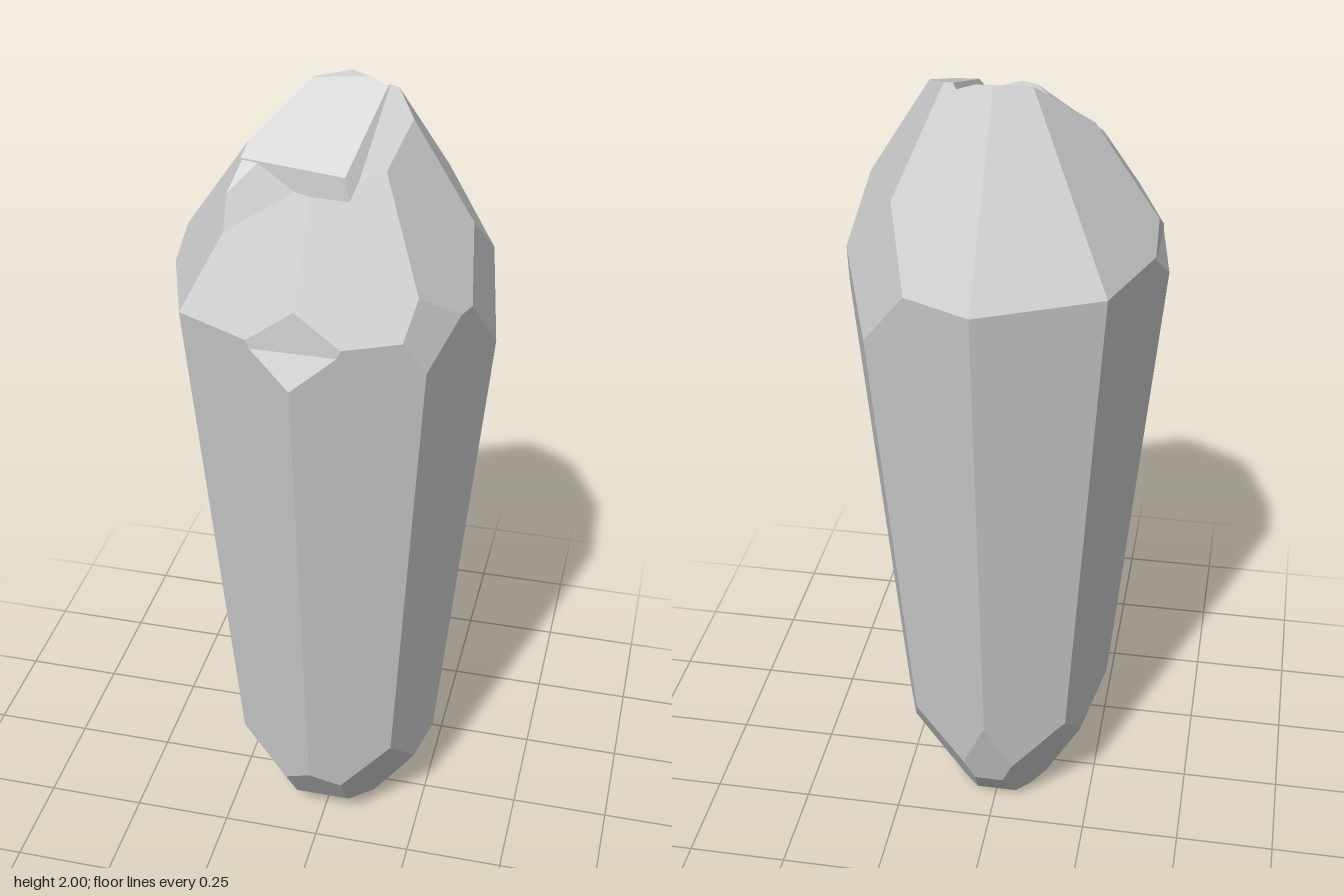
import * as THREE from 'three';

// A faceted stone: a convex solid bounded by planes, with wedge-shaped chips taken out of it.
const core = new THREE.Vector3(0, 1, 0);
const v = (p) => new THREE.Vector3(...p);

// Plane through three points, facing away from the core
function plane(a, b, c) {
  const p = new THREE.Plane().setFromCoplanarPoints(v(a), v(b), v(c));
  return p.distanceToPoint(core) > 0 ? p.negate() : p;
}

// Keep the part of a polygon behind (side 1) or beyond (side -1) a plane
function clip(poly, p, side) {
  const out = [];
  poly.forEach((a, i) => {
    const b = poly[(i + 1) % poly.length];
    const da = side * p.distanceToPoint(a), db = side * p.distanceToPoint(b);
    if (da <= 0) out.push(a);
    if (da * db < 0) out.push(a.clone().lerp(b, da / (da - db)));
  });
  return out.length > 2 ? out : [];
}

// Remove a wedge from a polygon, leaving convex pieces
function subtract(poly, wedge) {
  const pieces = [];
  let rest = poly;
  for (const p of wedge) {
    pieces.push(clip(rest, p, 1));
    rest = clip(rest, p, -1);
  }
  return pieces.filter((q) => q.length);
}

// Large square lying in a plane
function sheet(p) {
  const turn = new THREE.Quaternion().setFromUnitVectors(new THREE.Vector3(0, 0, 1), p.normal);
  const mid = p.projectPoint(core, new THREE.Vector3());
  return [[-4, -4, 0], [4, -4, 0], [4, 4, 0], [-4, 4, 0]].map((c) => v(c).applyQuaternion(turn).add(mid));
}

// Eight-sided cross-section, tapering downwards
const outline = [[0, 0.455], [0.275, 0.322], [0.388, 0], [0.275, -0.322],
  [0, -0.455], [-0.275, -0.322], [-0.388, 0], [-0.275, 0.322]];
const ring = (y, k) => {
  const s = 1 + (y - 1.55) * 0.24;
  const [x, z] = outline[k % 8];
  return [x * s, y, z * s];
};

export function createModel() {
  // Long side faces
  const sides = outline.map((_, k) => plane(ring(1.5, k), ring(1.5, k + 1), ring(0.4, k)));

  // Sloping crown faces, one above each side, and the tilted summit
  const tops = [[0, 1.87, 0.25], [0.14, 1.9, 0.17], [0.14, 1.95, -0.1], [0, 2, -0.15],
    [0, 2, -0.15], [-0.22, 1.85, 0], [-0.22, 1.85, 0], [0, 1.87, 0.25]];
  const crown = tops.map((t, k) => plane(ring(1.6, k), ring(1.6, k + 1), t));
  crown.push(plane([-0.1, 1.99, -0.12], [0.1, 1.99, -0.12], [0, 1.87, 0.25]));

  // Flat cuts on the shoulder: right, back right, front right
  const shoulder = [
    plane([0.387, 1.39, 0], [0.387, 1.39, 0.1], [0.305, 1.76, 0]),
    plane([0.275, 1.43, -0.315], [0.22, 1.75, -0.23], [0.405, 1.43, -0.145]),
    plane([0.28, 1.48, 0.325], [0.22, 1.6, 0.36], [0.34, 1.6, 0.17]),
  ];

  // Rough lower end: cuts running across x or z, then the resting face
  const acrossX = (y1, z1, y2, z2) => plane([-0.1, y1, z1], [0.1, y1, z1], [0, y2, z2]);
  const acrossZ = (y1, x1, y2, x2) => plane([x1, y1, -0.1], [x1, y1, 0.1], [x2, y2, 0]);
  const base = [
    acrossX(0.26, 0.305, 0.07, 0.17),
    acrossX(0.07, 0.17, 0, -0.04),
    acrossX(0, -0.14, 0.13, -0.25),
    acrossX(0.13, -0.255, 0.29, -0.303),
    acrossZ(0.33, -0.272, 0.04, -0.13),
    acrossZ(0.04, -0.13, 0, -0.09),
    acrossZ(0.25, 0.278, 0.14, 0.2),
    acrossZ(0.14, 0.2, 0, 0.09),
    plane([0, 0, 0], [1, 0, 0], [0, 0, 1]),
  ];

  // Hollow beside the summit: floor, back wall, ridge wall
  const hollow = [
    plane([-0.03, 1.87, 0.24], [0.03, 1.82, 0.05], [-0.17, 1.83, 0]),
    plane([0.05, 2, -0.14], [-0.09, 1.985, -0.11], [-0.07, 1.825, 0.025]),
    plane([0.09, 1.98, -0.11], [0.03, 1.82, 0.05], [0.1, 1.9, 0.2]),
  ];
  // Broken rim at the front left of the hollow
  const rim = [
    plane([-0.21, 1.75, 0.25], [-0.04, 1.865, 0.24], [-0.21, 1.83, 0]),
    plane([0.05, 2, -0.12], [-0.09, 1.985, -0.09], [-0.07, 1.825, 0.045]),
  ];
  // Shallow nicks on the front and left edges
  const frontNick = [
    acrossX(1.51, 0.449, 1.6, 0.402),
    acrossX(1.6, 0.41, 1.67, 0.403),
  ];
  const leftNick = [
    acrossZ(1.52, -0.385, 1.6, -0.357),
    acrossZ(1.6, -0.36, 1.66, -0.356),
  ];
  // Undercut ledges at the foot of the four diagonal edges
  const ledge = (sx, sz, h) => [
    plane([0.2 * sx, h, 0.235 * sz], [0.02 * sx, h - 0.1, 0.305 * sz], [0.265 * sx, h - 0.1, 0.03 * sz]),
    plane([0.24 * sx, 0.25, 0.12 * sz], [0.07 * sx, 0.22, 0.28 * sz], [0.1 * sx, 0.07, 0.14 * sz]),
  ];
  const ledges = [ledge(1, 1, 0.35), ledge(1, -1, 0.36), ledge(-1, 1, 0.41), ledge(-1, -1, 0.34)];

  const solid = [...sides, ...crown, ...shoulder, ...base];
  const wedges = [hollow, rim, frontNick, leftNick, ...ledges];

  // Visible pieces of one face; owner is the wedge it lines, if any
  function pieces(p, owner) {
    let poly = sheet(p);
    for (const q of solid) if (q !== p) poly = clip(poly, q, 1);
    if (owner) for (const q of owner) if (q !== p) poly = clip(poly, q, -1);
    let list = poly.length ? [poly] : [];
    for (const w of wedges) if (w !== owner) list = list.flatMap((f) => subtract(f, w));
    return list;
  }

  const material = new THREE.MeshStandardMaterial({ color: 0xcccccc, flatShading: true });
  const group = new THREE.Group();
  group.name = 'crystal';
  function addPart(name, polys) {
    const points = [];
    for (const f of polys)
      for (let i = 1; i < f.length - 1; i++) points.push(f[0], f[i], f[i + 1]);
    const geometry = new THREE.BufferGeometry().setFromPoints(points);
    geometry.computeVertexNormals();
    const mesh = new THREE.Mesh(geometry, material);
    mesh.name = name;
    group.add(mesh);
  }
  const faces = (planes) => planes.flatMap((p) => pieces(p));
  const linings = (list) => list.flatMap((w) => w.flatMap((p) => pieces(p, w)));

  addPart('sideFaces', faces(sides));
  addPart('crownFaces', faces(crown));
  addPart('shoulderCuts', faces(shoulder));
  addPart('brokenBase', faces(base));
  addPart('summitHollow', linings([hollow, rim]));
  addPart('edgeNicks', linings([frontNick, leftNick]));
  addPart('baseLedges', linings(ledges));
  return group;
}
